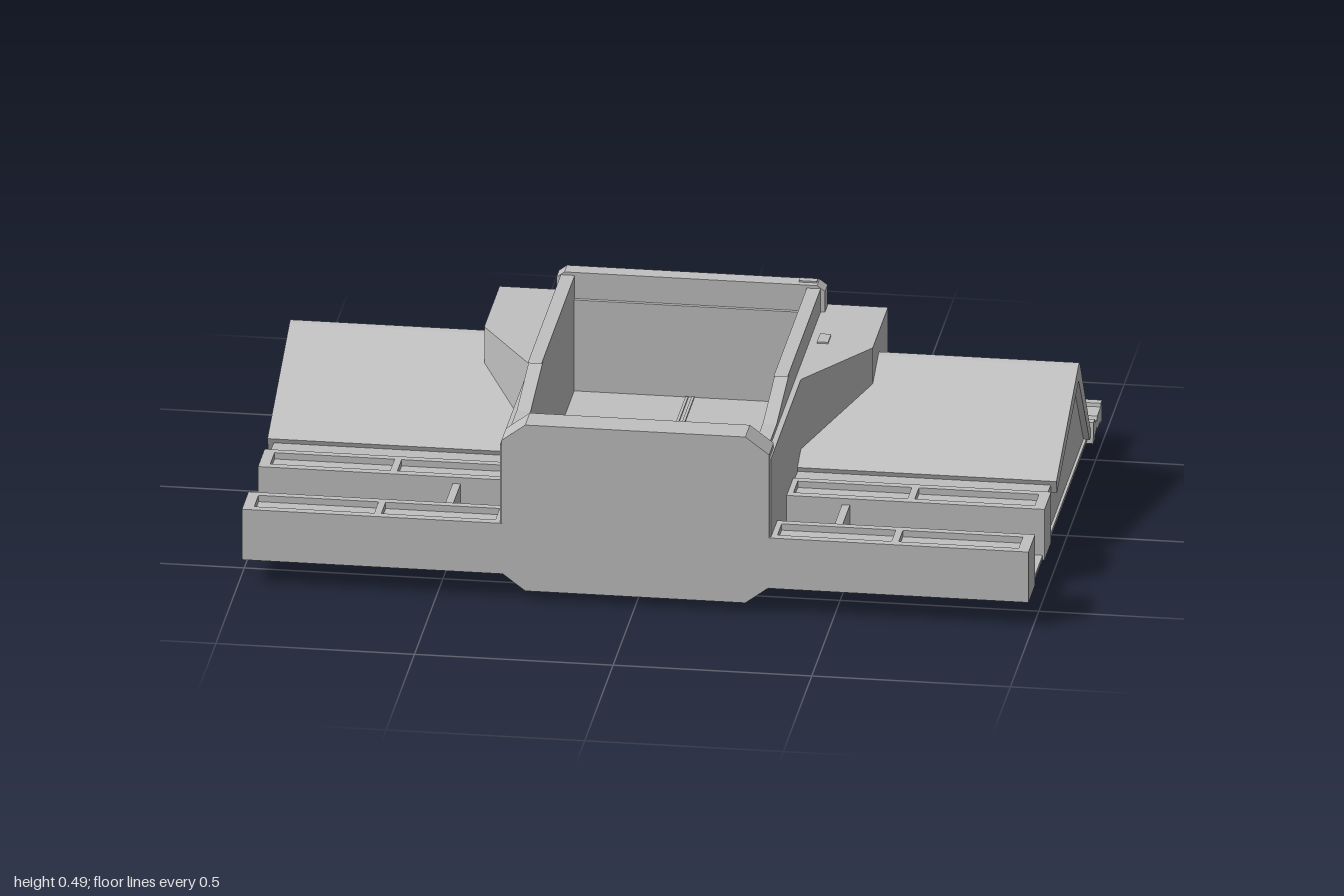
import * as THREE from 'three';

const hull = new THREE.MeshStandardMaterial({ color: 0xc0c0c0 });
hull.name = 'hullGrey';

export function createModel() {
  const model = new THREE.Group();
  model.name = 'hullSection';

  const add = (name, geo) => {
    const mesh = new THREE.Mesh(geo, hull);
    mesh.name = name;
    model.add(mesh);
    return mesh;
  };
  const shapeOf = (pts) => new THREE.Shape(pts.map(([a, b]) => new THREE.Vector2(a, b)));
  const extrude = (shape, depth) => new THREE.ExtrudeGeometry(shape, { depth, bevelEnabled: false });

  // box given by its limits
  const box = (name, x0, x1, y0, y1, z0, z1) =>
    add(name, new THREE.BoxGeometry(Math.abs(x1 - x0), y1 - y0, z1 - z0)
      .translate((x0 + x1) / 2, (y0 + y1) / 2, (z0 + z1) / 2));

  // side outline of [z, y] points, extruded across x
  const across = (name, pts, x0, x1) =>
    add(name, extrude(shapeOf(pts.map(([z, y]) => [-z, y])), Math.abs(x1 - x0))
      .rotateY(Math.PI / 2).translate(Math.min(x0, x1), 0, 0));

  // plan outline of [x, z] points, extruded from y1 down to y0
  const upright = (name, shape, y0, y1) =>
    add(name, extrude(shape, y1 - y0).rotateX(Math.PI / 2).translate(0, y1, 0));

  // chamfered outline of [x, y] points, extruded along z
  const plate = (name, w, y0, y1, cx, cy, z0, z1) =>
    add(name, extrude(shapeOf([
      [-w + cx, y0], [w - cx, y0], [w, y0 + cy], [w, y1 - cy],
      [w - cx, y1], [-w + cx, y1], [-w, y1 - cy], [-w, y0 + cy],
    ]), z1 - z0).translate(0, 0, z0));

  // front plate and rear flange bars
  plate('frontPlate', 0.337, 0.025, 0.472, 0.06, 0.045, 0.53, 0.61);
  plate('upperRearFlange', 0.338, 0.40, 0.485, 0.02, 0.015, -0.41, -0.365);
  plate('lowerRearFlange', 0.338, 0, 0.085, 0.02, 0.015, -0.41, -0.365);

  // bay floor with central door seam above and below
  box('bayFloor', -0.3, 0.3, 0.08, 0.17, -0.38, 0.54);
  for (const s of [-1, 1]) {
    box('bayDoorSeam', s * 0.004, s * 0.011, 0.168, 0.174, -0.35, 0.53);
    box('lowerDoorSeam', s * 0.004, s * 0.011, 0.076, 0.082, -0.35, 0.53);
  }
  box('rearBulkhead', -0.34, 0.34, 0.075, 0.415, -0.415, -0.355);

  // continuous foot of the rear slope and trailing rail
  across('rearSlopeFoot', [[-0.40, 0.075], [-0.40, 0.173], [-0.47, 0.08], [-0.46, 0.075]], -0.36, 0.36);
  const rail = [
    [-0.455, 0.062], [-0.485, 0.062], [-0.485, 0.072], [-0.508, 0.072], [-0.512, 0.08],
    [-0.524, 0.08], [-0.528, 0.07], [-0.588, 0.07], [-0.59, 0.062], [-0.612, 0.062],
    [-0.612, 0.116], [-0.59, 0.116], [-0.588, 0.107], [-0.528, 0.107], [-0.524, 0.098],
    [-0.512, 0.098], [-0.508, 0.105], [-0.485, 0.105], [-0.485, 0.116], [-0.462, 0.116],
  ];
  across('trailingRail', rail, -1, 1);

  for (const s of [-1, 1]) {
    // raised bay wall with stepped rim, mirrored below
    across('bayWall', [
      [0.56, 0.063], [0.41, 0.063], [0.22, 0.015], [-0.38, 0.015],
      [-0.38, 0.477], [0.22, 0.477], [0.19, 0.473], [0.41, 0.427], [0.56, 0.427],
    ], s * 0.292, s * 0.327);

    // side housing that widens towards the rear
    upright('sideHousing', shapeOf([
      [0.31, 0.605], [0.341, 0.605], [0.341, 0.08], [0.489, -0.15], [0.489, -0.418], [0.31, -0.418],
    ].map(([x, z]) => [s * x, z])), 0.072, 0.415);

    // wing floor and core under the folded roof
    box('wingFloor', s * 0.33, s * 0.985, 0.07, 0.08, -0.46, 0.6);
    across('wingCore', [
      [0.215, 0.072], [0.215, 0.193], [0.14, 0.19], [-0.255, 0.335], [-0.45, 0.072],
    ], s * 0.33, s * 0.978);

    // folded roof sheet
    across('wingRoof', [
      [0.13, 0.168], [0.142, 0.203], [-0.245, 0.356], [-0.262, 0.359], [-0.275, 0.35],
      [-0.474, 0.078], [-0.44, 0.078], [-0.252, 0.312], [-0.24, 0.312],
    ], s * 0.33, s * 0.993);

    // two front beams with shallow pockets above and below
    for (const z0 of [0.213, 0.495]) {
      const z1 = z0 + 0.116;
      const beam = shapeOf([[0.335, z0], [0.99, z0], [0.99, z1], [0.335, z1]].map(([x, z]) => [s * x, z]));
      for (const [a, b] of [[0.355, 0.642], [0.66, 0.962]]) {
        beam.holes.push(new THREE.Path([[a, z0 + 0.02], [a, z1 - 0.022], [b, z1 - 0.022], [b, z0 + 0.02]]
          .map(([x, z]) => new THREE.Vector2(s * x, z))));
      }
      upright('frontBeam', beam, 0.068, 0.204);
      box('beamPocketFloor', s * 0.34, s * 0.975, 0.085, 0.187, z0 + 0.01, z1 - 0.01);
    }
    box('beamWeb', s * 0.48, s * 0.5, 0.075, 0.187, 0.32, 0.5);
  }

  // small hatch details on the housing top
  box('sideHatch', 0.347, 0.375, 0.412, 0.419, -0.215, -0.16);
  box('rearLatch', 0.27, 0.315, 0.482, 0.489, -0.402, -0.382);

  return model;
}
